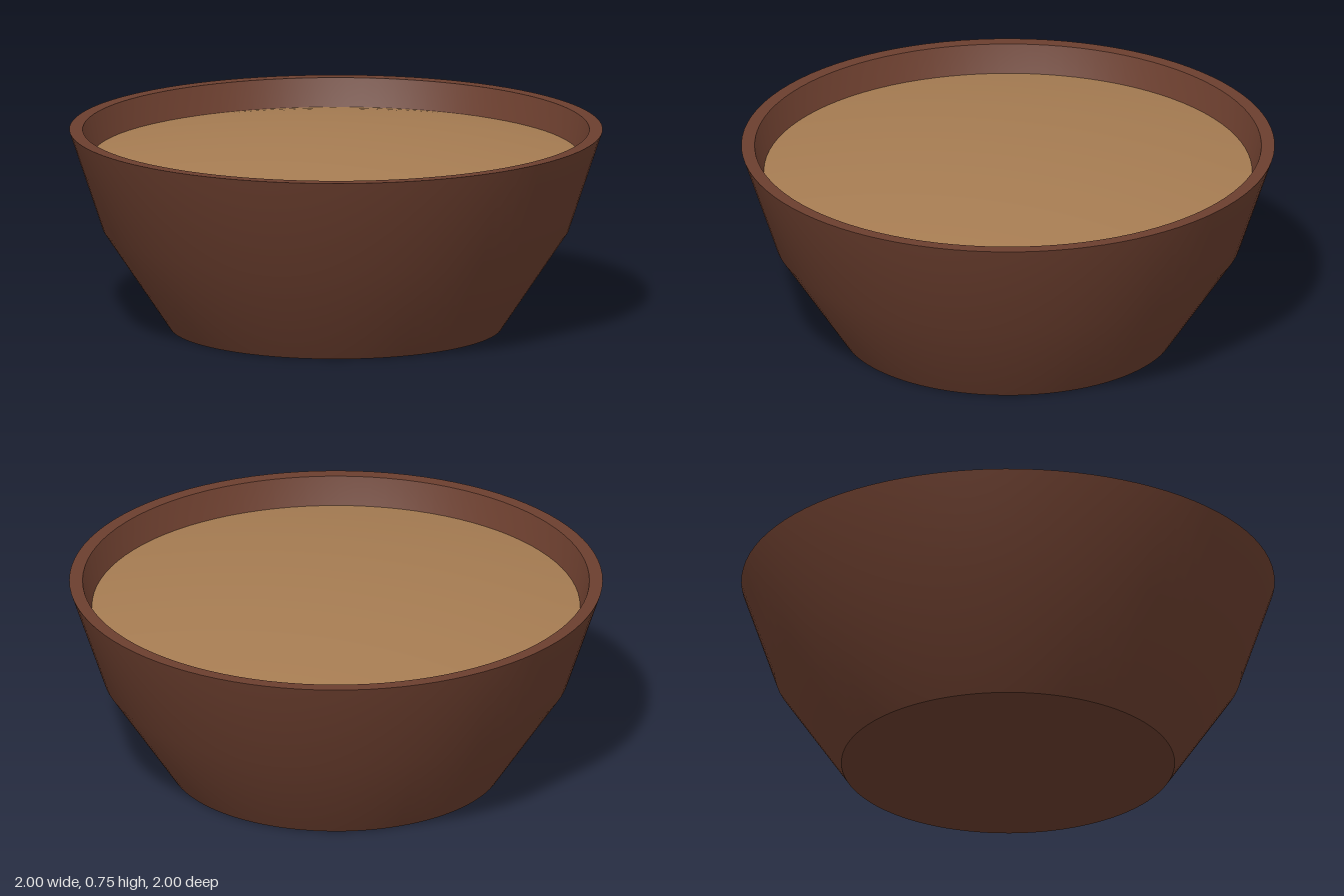
import * as THREE from 'three';
import { toCreasedNormals } from 'three/addons/utils/BufferGeometryUtils.js';

const SEGMENTS = 96;

// Revolve a [radius, height] profile, keeping sharp corners crisp
function revolve(name, profile, material) {
  const points = profile.map(([r, y]) => new THREE.Vector2(r, y));
  const geometry = toCreasedNormals(new THREE.LatheGeometry(points, SEGMENTS), 0.6);
  const mesh = new THREE.Mesh(geometry, material);
  mesh.name = name;
  return mesh;
}

export function createModel() {
  const clay = new THREE.MeshStandardMaterial({ color: 0x6b3e2e });
  clay.name = 'brown clay';
  const broth = new THREE.MeshStandardMaterial({ color: 0xa67c52 });
  broth.name = 'tan broth';

  const group = new THREE.Group();
  group.name = 'bowlOfSoup';

  // Bowl: flat base, two-slope wall, flat rim, then the inside back to the centre
  group.add(revolve('bowl', [
    [0, 0], [0.625, 0], [0.875, 0.375], [1, 0.75],
    [0.95, 0.75], [0.825, 0.375], [0.59, 0.05], [0, 0.05],
  ], clay));

  // Soup: a shallow dome touching the inner wall
  const radius = 0.915, edge = 0.645, rise = 0.08, steps = 12;
  const dome = [];
  for (let i = 0; i <= steps; i++) {
    const t = 1 - i / steps;
    dome.push([radius * t, edge + rise * (1 - t * t)]);
  }
  group.add(revolve('soup', dome, broth));

  return group;
}
